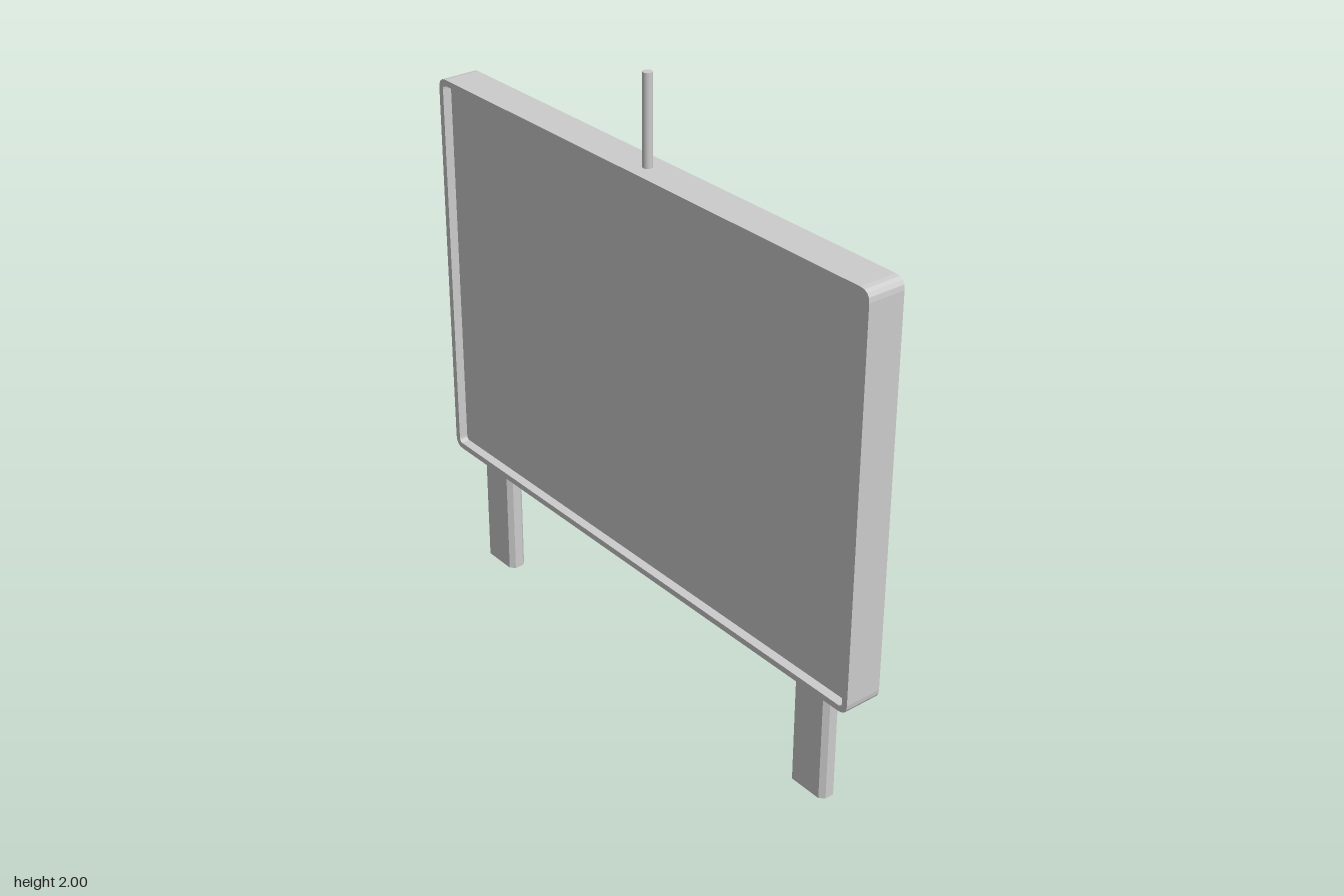
import * as THREE from 'three';

// Rounded rectangle centred on (0, cy)
function roundedRect(target, w, h, r, cy) {
  const x = w / 2, b = cy - h / 2, t = cy + h / 2;
  target.moveTo(-x + r, b);
  target.lineTo(x - r, b);
  target.quadraticCurveTo(x, b, x, b + r);
  target.lineTo(x, t - r);
  target.quadraticCurveTo(x, t, x - r, t);
  target.lineTo(-x + r, t);
  target.quadraticCurveTo(-x, t, -x, t - r);
  target.lineTo(-x, b + r);
  target.quadraticCurveTo(-x, b, -x + r, b);
  return target;
}

// Extrude a z-y outline from startX towards -x
function slab(shape, startX, depth) {
  return new THREE.ExtrudeGeometry(shape, { depth, bevelEnabled: false, curveSegments: 4 })
    .rotateY(-Math.PI / 2)
    .translate(startX, 0, 0);
}

// Open tube with a chamfered rectangular section
function legGeometry(w, d, h, chamfer) {
  const g = new THREE.CylinderGeometry(1, 1, h, 8, 1, true, Math.PI / 8);
  const p = g.attributes.position;
  const place = (v, half) => Math.sign(v) * (Math.abs(v) > 0.6 ? half : half - chamfer);
  for (let i = 0; i < p.count; i++) {
    p.setX(i, place(p.getX(i), w / 2));
    p.setZ(i, place(p.getZ(i), d / 2));
  }
  return g.translate(0, h / 2, 0);
}

export function createModel() {
  const model = new THREE.Group();
  const grey = new THREE.MeshStandardMaterial({ color: 0xcccccc });
  const faceted = new THREE.MeshStandardMaterial({
    color: 0xcccccc, flatShading: true, side: THREE.DoubleSide,
  });
  const add = (name, geometry, material = grey) => {
    const mesh = new THREE.Mesh(geometry, material);
    mesh.name = name;
    model.add(mesh);
    return mesh;
  };

  const W = 1.93, H = 1.325, CY = 1.0525, R = 0.035;
  const half = 0.062, recess = 0.03, rim = 0.02;

  // Main board, flat on its +x side
  add('board', slab(roundedRect(new THREE.Shape(), W, H, R, CY), half, 2 * half - recess));

  // Raised rim around the recessed -x face
  const rimShape = roundedRect(new THREE.Shape(), W, H, R, CY);
  rimShape.holes.push(roundedRect(new THREE.Path(), W - 2 * rim, H - 2 * rim, R - rim, CY));
  add('rim', slab(rimShape, -half + recess, recess));

  // Legs
  for (const side of [1, -1]) {
    const leg = add(side > 0 ? 'frontLeg' : 'backLeg', legGeometry(0.06, 0.145, 0.395, 0.015), faceted);
    leg.position.z = side * 0.779;
  }

  // Thin post on top
  add('post', new THREE.CylinderGeometry(0.015, 0.015, 0.29, 16).translate(-0.002, 1.855, 0));

  return model;
}
